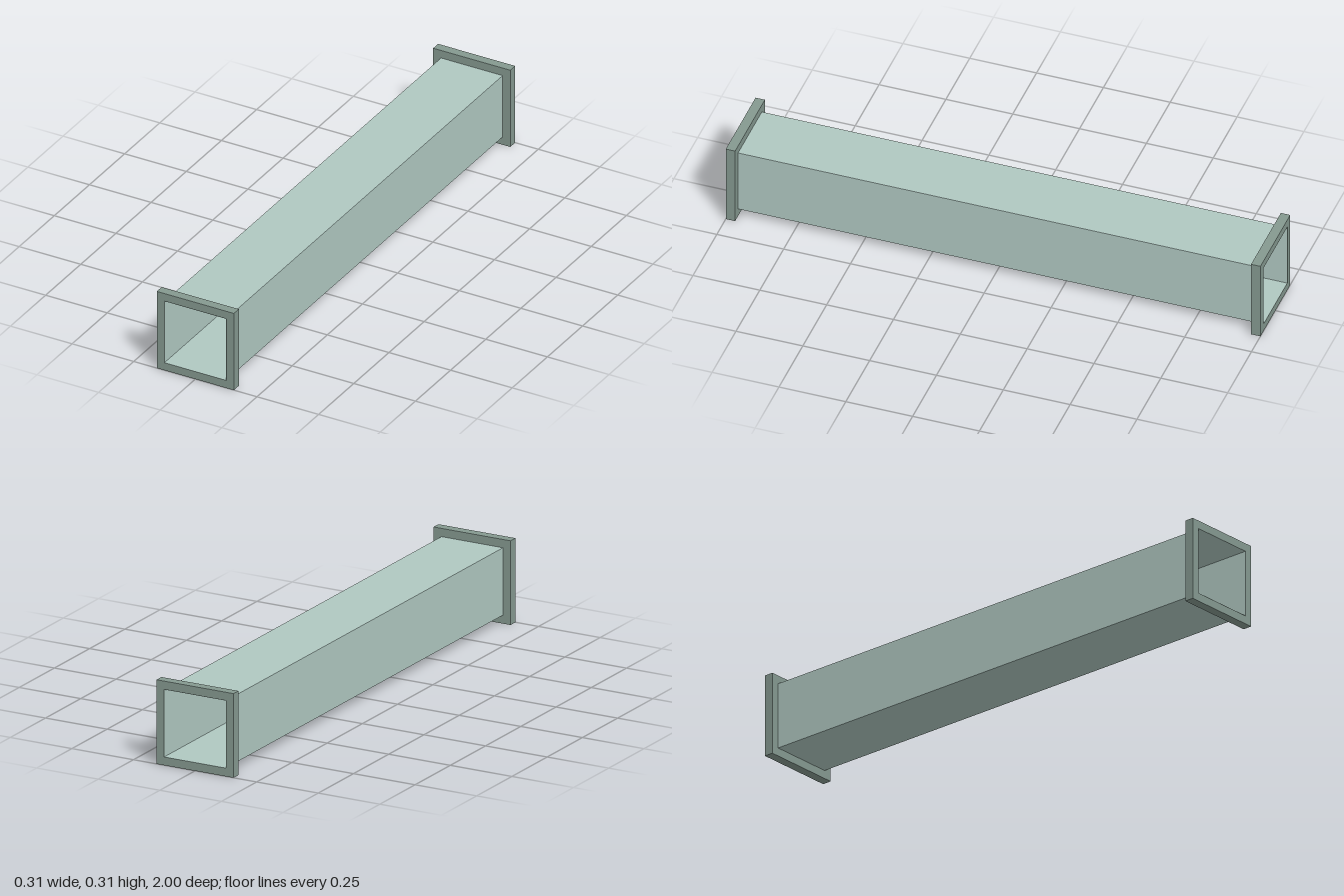
import * as THREE from 'three';

const LENGTH = 2;
const CENTRE_Y = 0.15625;
const DUCT_HALF = 0.125;
const FLANGE_HALF = 0.15625;
const FLANGE_DEPTH = 0.035;

// Square outline centred on the duct axis
function square(half, Type) {
  return new Type([
    new THREE.Vector2(-half, -half),
    new THREE.Vector2(half, -half),
    new THREE.Vector2(half, half),
    new THREE.Vector2(-half, half),
  ]);
}

export function createModel() {
  const model = new THREE.Group();
  model.name = 'squareDuct';

  const sheetMetal = new THREE.MeshStandardMaterial({
    color: 0xb0c8c1, flatShading: true, side: THREE.DoubleSide,
  });
  sheetMetal.name = 'pale green sheet metal';
  const flangeMetal = new THREE.MeshStandardMaterial({ color: 0x859990, flatShading: true });
  flangeMetal.name = 'grey green flange metal';

  // Thin-walled square tube, open at both ends
  const radius = DUCT_HALF * Math.SQRT2;
  const ductGeometry = new THREE.CylinderGeometry(radius, radius, LENGTH, 4, 1, true, Math.PI / 4);
  ductGeometry.rotateX(Math.PI / 2);
  const duct = new THREE.Mesh(ductGeometry, sheetMetal);
  duct.name = 'duct';
  duct.position.y = CENTRE_Y;
  model.add(duct);

  // Square collar around each end, its opening a hair wider than the duct
  const outline = square(FLANGE_HALF, THREE.Shape);
  outline.holes.push(square(DUCT_HALF + 0.0005, THREE.Path));
  const flangeGeometry = new THREE.ExtrudeGeometry(outline, { depth: FLANGE_DEPTH, bevelEnabled: false });
  flangeGeometry.translate(0, 0, -FLANGE_DEPTH / 2);
  for (const [name, side] of [['frontFlange', 1], ['backFlange', -1]]) {
    const flange = new THREE.Mesh(flangeGeometry, flangeMetal);
    flange.name = name;
    flange.position.set(0, CENTRE_Y, side * (LENGTH - FLANGE_DEPTH) / 2);
    model.add(flange);
  }

  return model;
}
